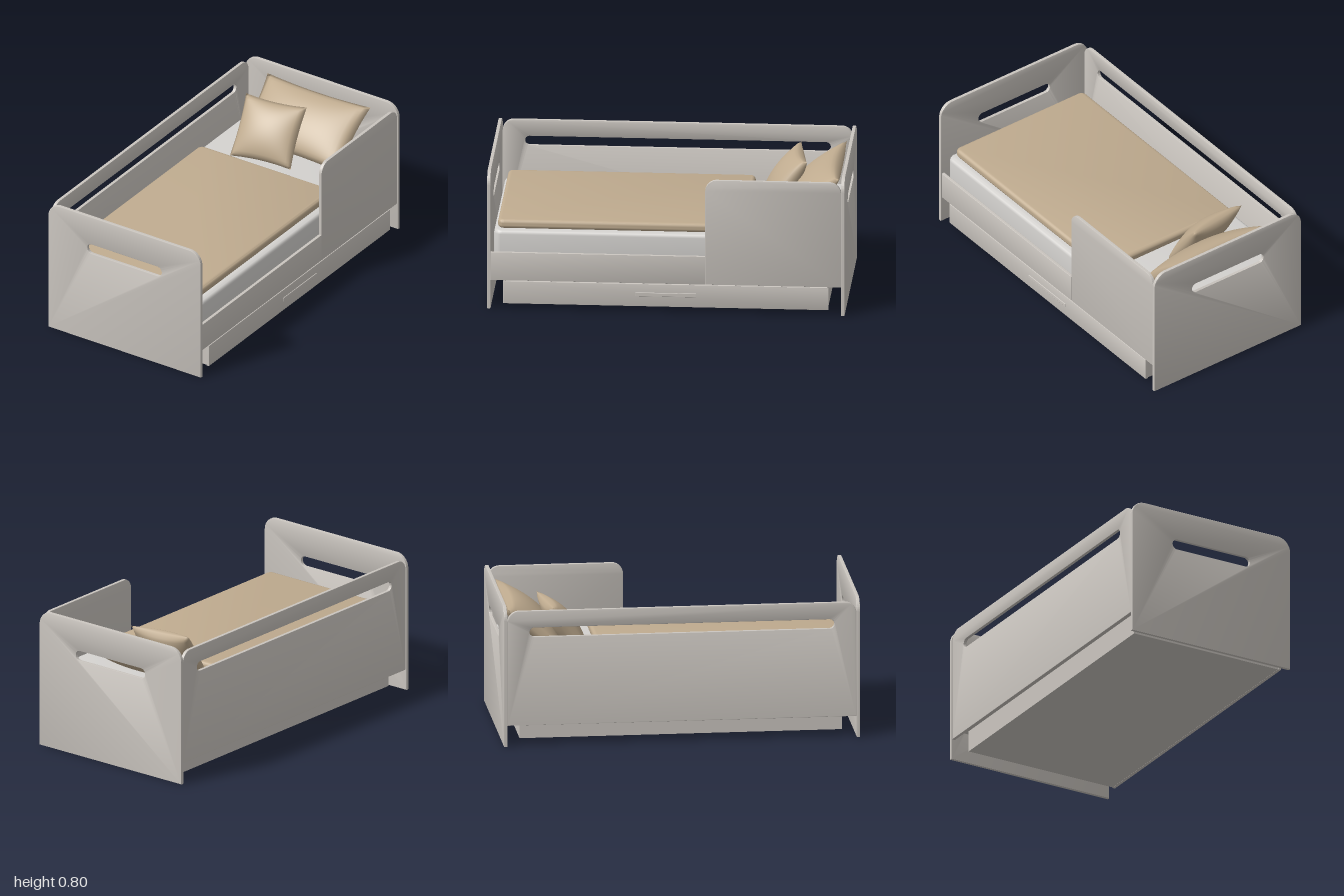
import * as THREE from 'three';
import { mergeGeometries, mergeVertices, toCreasedNormals } from 'three/addons/utils/BufferGeometryUtils.js';
import { RoundedBoxGeometry } from 'three/addons/geometries/RoundedBoxGeometry.js';

const material = (name, color) => {
  const m = new THREE.MeshStandardMaterial({ color });
  m.name = name;
  return m;
};

// Rectangle outline with separate top and bottom corner radii
function roundedRect(target, x0, x1, y0, y1, top, bottom = 0) {
  target.moveTo(x0 + bottom, y0);
  target.lineTo(x1 - bottom, y0);
  if (bottom) target.absarc(x1 - bottom, y0 + bottom, bottom, -Math.PI / 2, 0);
  target.lineTo(x1, y1 - top);
  if (top) target.absarc(x1 - top, y1 - top, top, 0, Math.PI / 2);
  target.lineTo(x0 + top, y1);
  if (top) target.absarc(x0 + top, y1 - top, top, Math.PI / 2, Math.PI);
  target.lineTo(x0, y0 + bottom);
  if (bottom) target.absarc(x0 + bottom, y0 + bottom, bottom, Math.PI, Math.PI * 1.5);
  return target;
}

// Board of thickness t with eased edges, centred on its own plane
function board(shape, t, bevel = 0.004, segments = 2) {
  const g = new THREE.ExtrudeGeometry(shape, {
    depth: t - 2 * bevel, bevelThickness: bevel, bevelSize: bevel,
    bevelOffset: -bevel, bevelSegments: segments, curveSegments: 12,
  });
  g.translate(0, 0, -(t - 2 * bevel) / 2);
  return toCreasedNormals(g, 0.6);
}

// Stuffed cushion: two bulging faces meeting at a pinched seam
function cushion(w, h, t) {
  const face = new THREE.PlaneGeometry(2, 2, 24, 24);
  const p = face.attributes.position;
  for (let i = 0; i < p.count; i++) {
    const u = p.getX(i), v = p.getY(i);
    const a = Math.max(0, 1 - u * u), b = Math.max(0, 1 - v * v);
    p.setXYZ(i, (w / 2) * u * (1 - 0.05 * b), (h / 2) * v * (1 - 0.07 * a),
      0.004 + (t / 2) * Math.pow(a * b, 0.55));
  }
  const back = face.clone().rotateY(Math.PI);
  const both = mergeGeometries([face, back]);
  both.deleteAttribute('normal');
  both.deleteAttribute('uv');
  // Close the seam
  const q = both.attributes.position;
  for (let i = 0; i < q.count; i++) {
    if (Math.abs(q.getZ(i)) < 0.0041) q.setZ(i, 0);
  }
  const g = mergeVertices(both, 1e-4);
  g.computeVertexNormals();
  return g;
}

export function createModel() {
  const bed = new THREE.Group();
  bed.name = 'bed';
  const frame = material('warm grey board', 0xcac5bf);
  const sheet = material('light grey sheet', 0xd4d2cf);
  const fabric = material('tan fabric', 0xbfab8f);

  const add = (name, geometry, mat, x = 0, y = 0, z = 0) => {
    const m = new THREE.Mesh(geometry, mat);
    m.name = name;
    m.position.set(x, y, z);
    bed.add(m);
    return m;
  };
  const box = (name, x0, x1, y0, y1, z0, z1, mat, r) => add(name,
    r ? new RoundedBoxGeometry(x1 - x0, y1 - y0, z1 - z0, 4, r)
      : new THREE.BoxGeometry(x1 - x0, y1 - y0, z1 - z0),
    mat, (x0 + x1) / 2, (y0 + y1) / 2, (z0 + z1) / 2);

  // End boards with a handle slot
  const endShape = roundedRect(new THREE.Shape(), -0.512, 0.512, 0, 0.8, 0.08);
  endShape.holes.push(roundedRect(new THREE.Path(), -0.249, 0.249, 0.565, 0.623, 0.0289, 0.0289));
  const endGeometry = board(endShape, 0.02);
  add('footboard', endGeometry, frame, 0, 0, 0.99);
  add('headboard', endGeometry, frame, 0, 0, -0.99);

  // Side boards, drawn along z
  const side = (name, shape, x) => add(name, board(shape, 0.02).rotateY(-Math.PI / 2), frame, x);
  const wall = roundedRect(new THREE.Shape(), -0.98, 0.98, 0.12, 0.78, 0.065);
  wall.holes.push(roundedRect(new THREE.Path(), -0.855, 0.855, 0.63, 0.683, 0.0264, 0.0264));
  side('wallSideBoard', wall, -0.498);
  side('headGuard', roundedRect(new THREE.Shape(), -0.98, -0.22, 0.165, 0.78, 0.065), 0.498);
  side('lowSideRail', roundedRect(new THREE.Shape(), -0.22, 0.98, 0.165, 0.33, 0), 0.498);
  box('bedBase', -0.488, 0.488, 0.175, 0.21, -0.98, 0.98, frame);

  // Under-bed drawer
  side('drawerFront', roundedRect(new THREE.Shape(), -0.91, 0.91, 0.03, 0.162, 0), 0.498);
  box('drawerBox', -0.445, 0.488, 0.031, 0.155, -0.905, 0.905, frame);
  box('drawerHandle', 0.506, 0.512, 0.09, 0.112, -0.17, 0.17, frame, 0.0025);

  // Mattress with rounded plan corners
  const plan = (x0, x1, z0, z1, r, t, bevel) => board(
    roundedRect(new THREE.Shape(), x0, x1, -z1, -z0, r, r), t, bevel, 4).rotateX(-Math.PI / 2);
  add('mattress', plan(-0.477, 0.483, -0.965, 0.965, 0.045, 0.24, 0.022), sheet, 0, 0.33, 0);

  // Blanket
  add('blanket', plan(-0.452, 0.445, -0.44, 0.945, 0.035, 0.052, 0.02), fabric, 0, 0.474, 0);

  // Pillows leaning back toward the headboard
  const large = add('largePillow', cushion(0.69, 0.41, 0.15), fabric, 0, 0.61, -0.8);
  large.rotation.set(-0.86, 0, 0);
  const small = add('smallPillow', cushion(0.375, 0.36, 0.13), fabric, -0.12, 0.6, -0.625);
  small.rotation.set(-0.63, 0.148, 0, 'YXZ');

  return bed;
}
